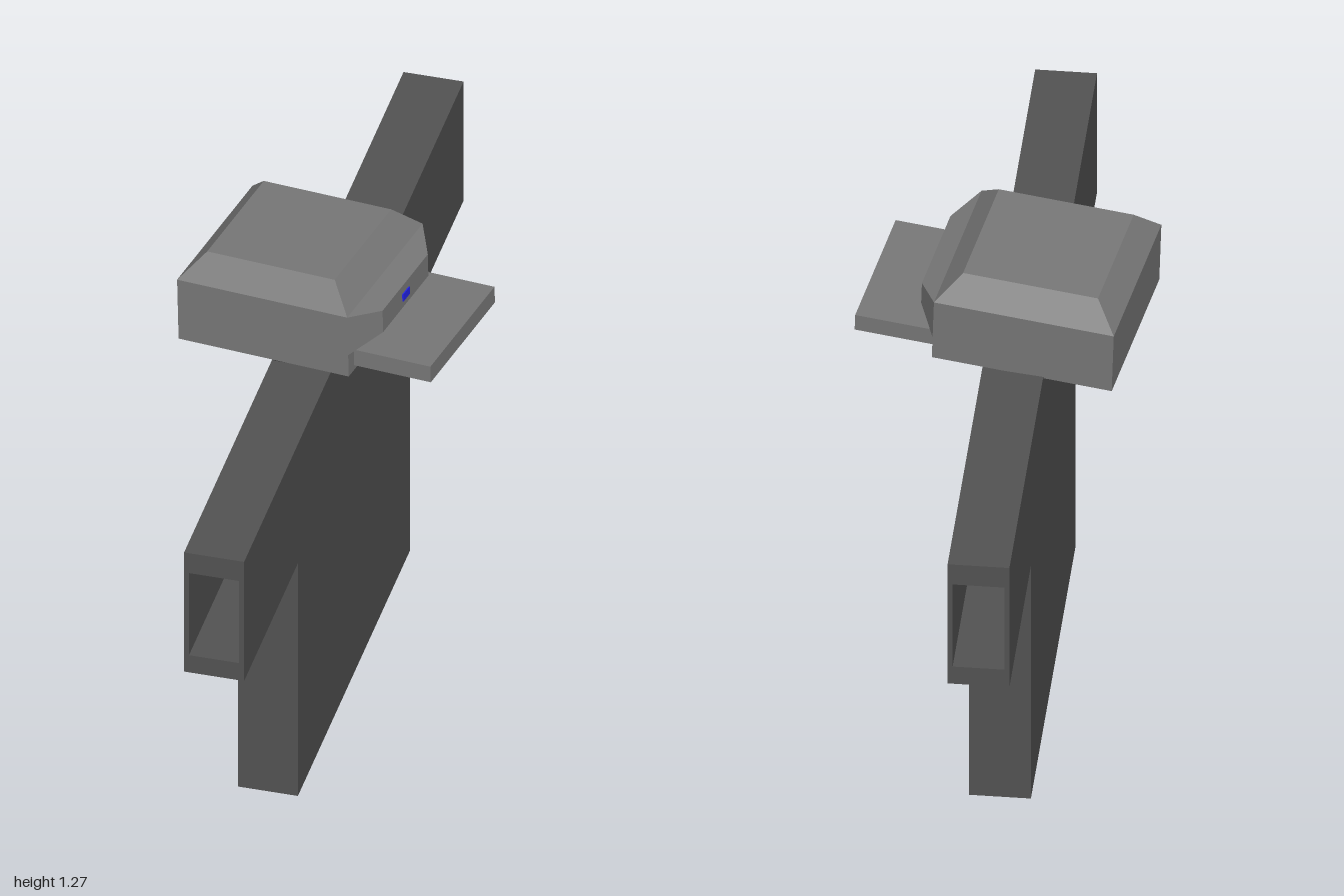
import * as THREE from 'three';
import { ConvexGeometry } from 'three/addons/geometries/ConvexGeometry.js';

const makeMaterial = (color) => new THREE.MeshStandardMaterial({ color, flatShading: true });
const shirtGrey = makeMaterial(0x525252);
const capGrey = makeMaterial(0x777777);
const blue = makeMaterial(0x2222e6);

function add(parent, name, geometry, material) {
  const mesh = new THREE.Mesh(geometry, material);
  mesh.name = name;
  parent.add(mesh);
  return mesh;
}

// Box given by its lower and upper bounds on each axis
function box(parent, name, [x0, x1], [y0, y1], [z0, z1], material) {
  const mesh = add(parent, name, new THREE.BoxGeometry(x1 - x0, y1 - y0, z1 - z0), material);
  mesh.position.set((x0 + x1) / 2, (y0 + y1) / 2, (z0 + z1) / 2);
}

// Four corners of a horizontal square, half-size r, at height y
const ring = (r, y) => [[-r, -r], [r, -r], [r, r], [-r, r]].map(([x, z]) => new THREE.Vector3(x, y, z));
// Four corners of an upright rectangle facing +x
const plate = (x, y0, y1, r) =>
  [[y0, -r], [y0, r], [y1, r], [y1, -r]].map(([y, z]) => new THREE.Vector3(x, y, z));

function createShirt() {
  const shirt = new THREE.Group();
  shirt.name = 'shirt';
  const left = 0.037, right = -0.11, wall = 0.004, lining = 0.012;
  const inner = [right + wall, left - wall];
  const top = 1.028, armpit = 0.68, waist = 0.51, neck = 0.2;

  // T-shaped chest and back panels
  const outline = new THREE.Shape([
    [-waist, 0], [waist, 0], [waist, armpit], [1, armpit],
    [1, top], [-1, top], [-1, armpit], [-waist, armpit],
  ].map(([z, y]) => new THREE.Vector2(z, y)));
  const panel = new THREE.ExtrudeGeometry(outline, { depth: wall, bevelEnabled: false });
  panel.rotateY(Math.PI / 2);
  add(shirt, 'chestPanel', panel, shirtGrey).position.x = left - wall;
  add(shirt, 'backPanel', panel, shirtGrey).position.x = right;

  // Walls closing the hollow, leaving neck, hem and cuffs open
  for (const s of [1, -1]) {
    const span = (a, b) => (s > 0 ? [a, b] : [-b, -a]);
    box(shirt, 'shoulder', inner, [0.97, top], span(neck, 1), shirtGrey);
    box(shirt, 'sleeveUnderside', inner, [armpit, 0.73], span(waist, 1), shirtGrey);
    box(shirt, 'torsoSide', inner, [0, 0.97], span(waist - 0.02, waist), shirtGrey);
    // Thicker front and back of each sleeve
    for (const x of [[right + wall, right + lining], [left - lining, left - wall]]) {
      box(shirt, 'sleeveLining', x, [0.73, 0.97], span(waist, 1), shirtGrey);
    }
  }
  return shirt;
}

function createCap() {
  const cap = new THREE.Group();
  cap.name = 'cap';
  const half = 0.22, shoulder = 0.166;

  // Square crown with a bevelled top
  const crown = [...ring(half, 0), ...ring(half, shoulder), ...ring(0.165, 0.226)];
  add(cap, 'crown', new ConvexGeometry(crown), capGrey);
  // Tapered front block meeting the crown's bevel edge
  const block = [...plate(half, 0.06, shoulder, half), ...plate(0.272, 0.085, 0.145, 0.132)];
  add(cap, 'frontBlock', new ConvexGeometry(block), capGrey);
  box(cap, 'badge', [0.264, 0.275], [0.103, 0.123], [-0.019, 0.019], blue);
  box(cap, 'brim', [0.2, 0.418], [0.012, 0.056], [-0.187, 0.187], capGrey);

  cap.position.set(-0.092, 1.035, -0.002);
  cap.rotation.set(-0.04, -0.155, 0.035);
  return cap;
}

export function createModel() {
  const model = new THREE.Group();
  model.name = 'shirtAndCap';
  model.add(createShirt(), createCap());
  return model;
}
